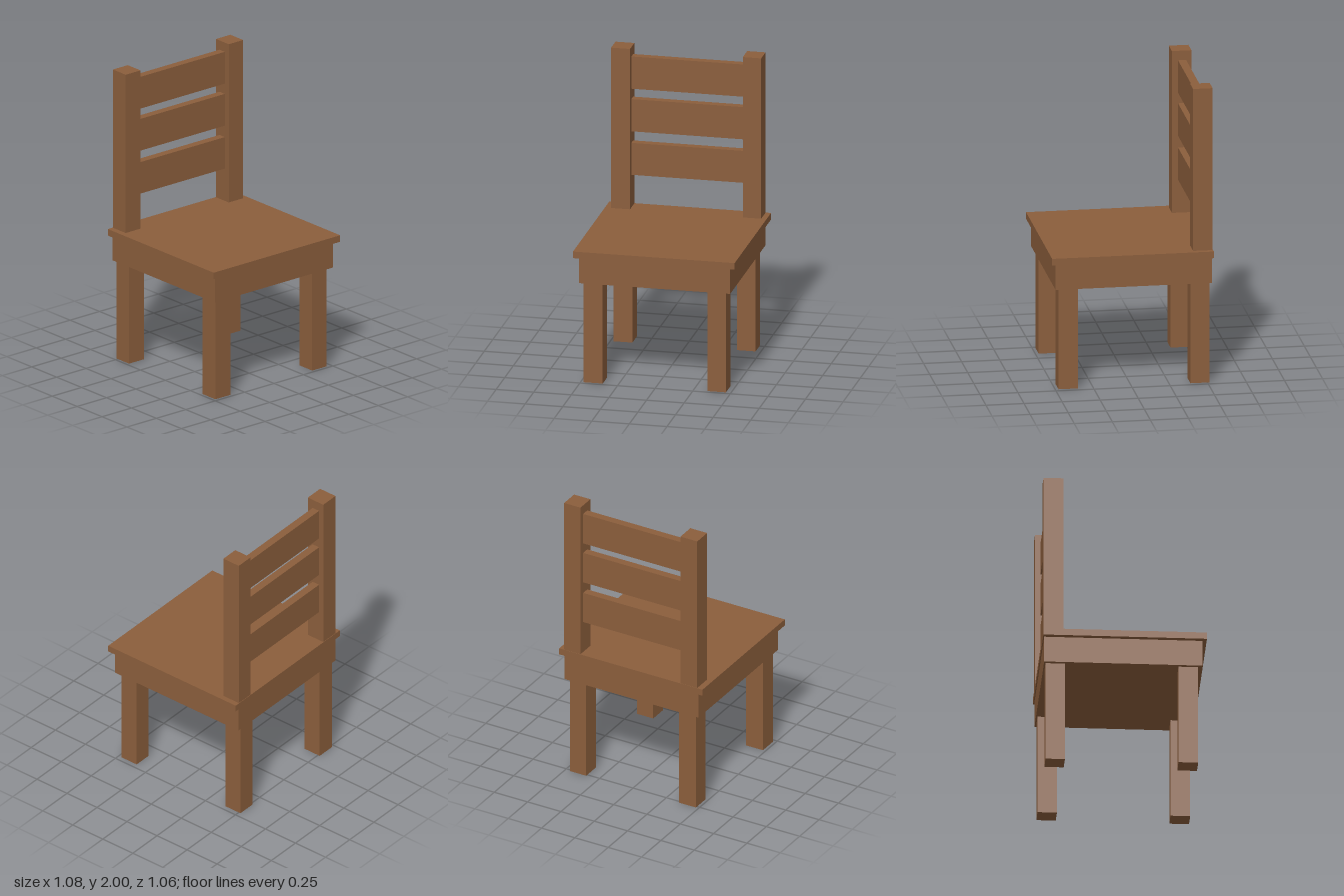
import * as THREE from 'three';

export function createModel() {
  const chair = new THREE.Group();
  chair.name = 'chair';
  const wood = new THREE.MeshStandardMaterial({ color: 0x8b5e3c, flatShading: true });

  // Adds a board spanning the given [min, max] ranges
  function board(name, [x0, x1], [y0, y1], [z0, z1]) {
    const mesh = new THREE.Mesh(new THREE.BoxGeometry(x1 - x0, y1 - y0, z1 - z0), wood);
    mesh.position.set((x0 + x1) / 2, (y0 + y1) / 2, (z0 + z1) / 2);
    mesh.name = name;
    chair.add(mesh);
  }

  // Seat and the solid frame beneath it
  board('seat', [-0.539, 0.536], [0.86, 0.905], [-0.531, 0.531]);
  board('seatFrame', [-0.505, 0.5], [0.683, 0.86], [-0.524, 0.503]);

  // Legs and back posts
  const legX = { right: [-0.48, -0.353], left: [0.343, 0.466] };
  const postX = { right: [-0.498, -0.372], left: [0.378, 0.5] };
  for (const side of ['right', 'left']) {
    board(side + 'FrontLeg', legX[side], [0, 0.683], [0.35, 0.478]);
    board(side + 'BackLeg', legX[side], [0, 0.683], [-0.514, -0.388]);
    board(side + 'BackPost', postX[side], [0.905, 2], [-0.528, -0.4]);
  }

  // Horizontal back slats
  [[1.128, 1.346], [1.425, 1.645], [1.716, 1.936]].forEach((y, i) =>
    board('backSlat' + (i + 1), [-0.372, 0.378], y, [-0.493, -0.44]));

  return chair;
}
